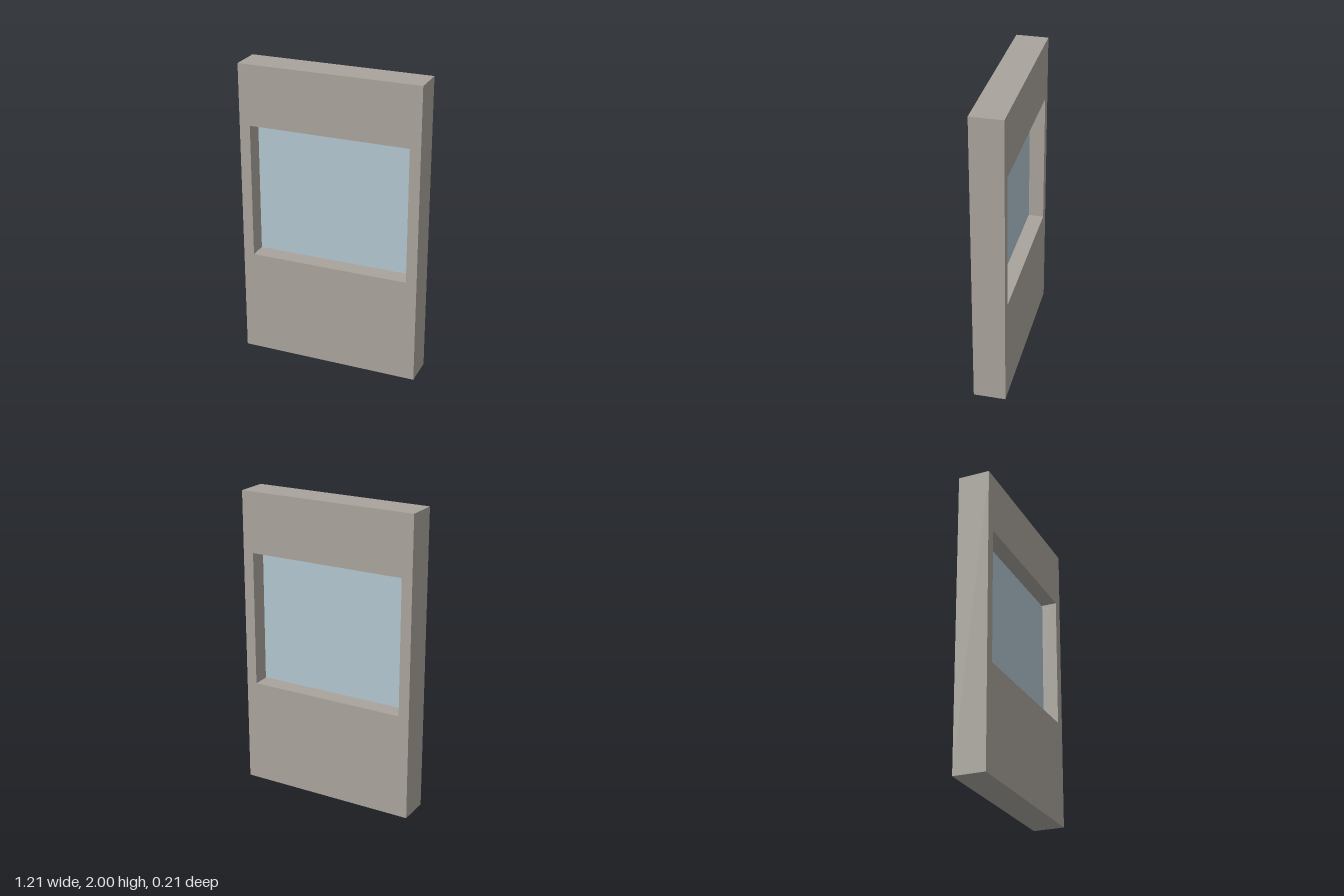
import * as THREE from 'three';

const WIDTH = 1.206, HEIGHT = 2, DEPTH = 0.21;
const JAMB = 0.071;               // width of each side post
const SILL = 0.7, HEAD = 1.6;     // bottom and top of the opening
const GAP = 0.01;                 // clearance around the glass

export function createModel() {
  const group = new THREE.Group();
  const wall = new THREE.MeshStandardMaterial({ color: 0xa8a39b });
  const glass = new THREE.MeshStandardMaterial({ color: 0xb0c4ce });
  const inner = WIDTH - 2 * JAMB;

  // Box spanning y0..y1, centred on z
  const addBox = (name, material, x, y0, y1, width, depth) => {
    const mesh = new THREE.Mesh(new THREE.BoxGeometry(width, y1 - y0, depth), material);
    mesh.name = name;
    mesh.position.set(x, (y0 + y1) / 2, 0);
    group.add(mesh);
  };

  // Full-height side posts
  for (const [name, side] of [['leftJamb', 1], ['rightJamb', -1]]) {
    addBox(name, wall, side * (WIDTH - JAMB) / 2, 0, HEIGHT, JAMB, DEPTH);
  }

  // Solid panels below and above the opening
  addBox('lowerPanel', wall, 0, 0, SILL, inner, DEPTH);
  addBox('upperPanel', wall, 0, HEAD, HEIGHT, inner, DEPTH);

  // Thin pane floating in the middle of the opening
  addBox('glassPane', glass, 0, SILL + GAP, HEAD - GAP, inner - 2 * GAP, 0.012);

  return group;
}
